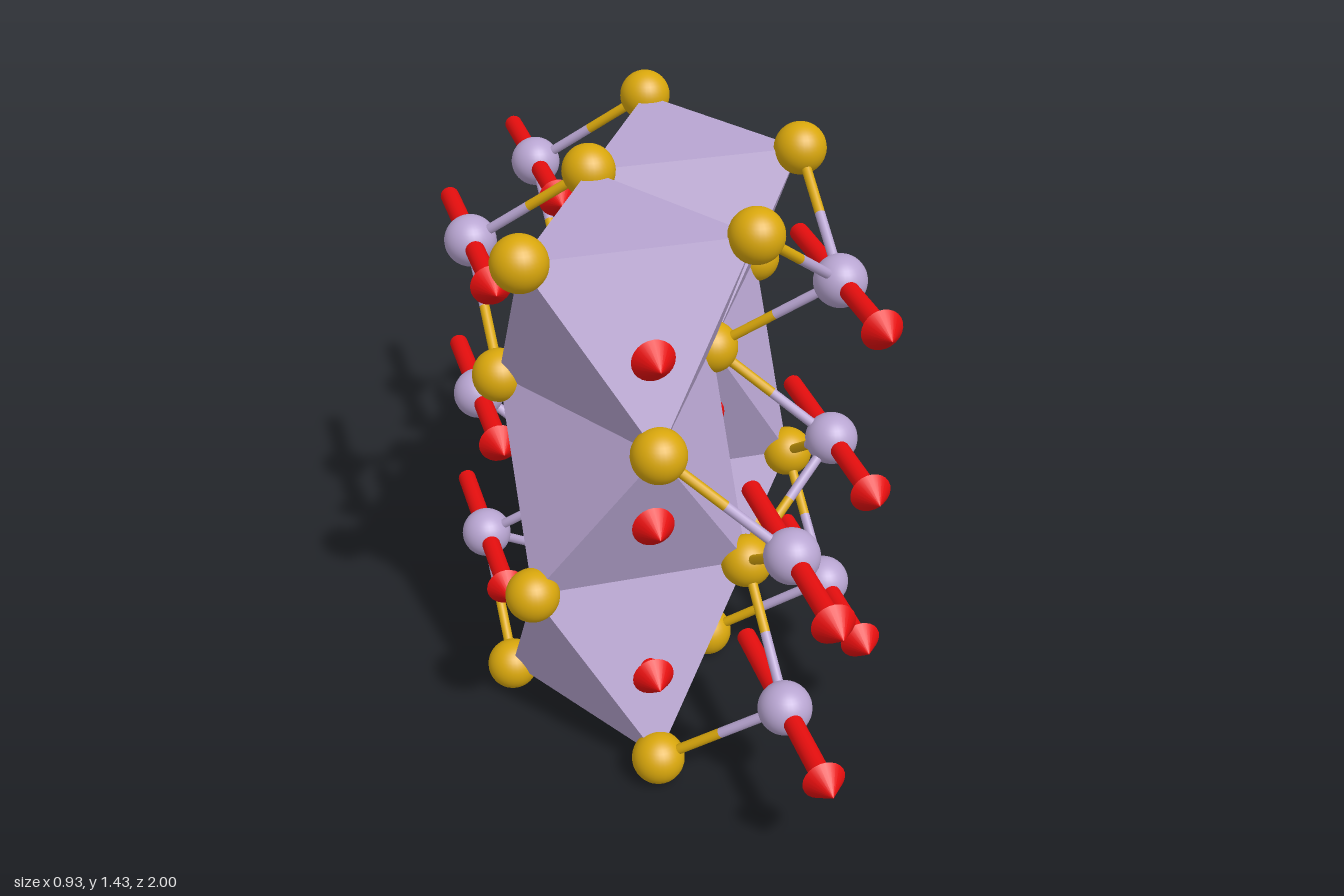
import * as THREE from 'three';
import { ConvexGeometry } from 'three/addons/geometries/ConvexGeometry.js';

const lilac = new THREE.MeshStandardMaterial({ color: 0xb8a5d1 });
const lilacFlat = new THREE.MeshStandardMaterial({ color: 0xb8a5d1, flatShading: true });
const gold = new THREE.MeshStandardMaterial({ color: 0xd9a70c });
const red = new THREE.MeshStandardMaterial({ color: 0xe60e0e });

// Lattice: column step along x, row step along z, layer step along y
const DX = 0.2667, ROW = 0.4616, LAYER = 0.4335, BASE = 0.066;
const ATOM_R = 0.065, BOND_R = 0.0125, BOND_MAX = 0.42;
const colX = (i) => (i - 1.5) * DX;
const metalZ = (row) => 0.213 + row * ROW;

export function createModel() {
  const model = new THREE.Group();
  model.name = 'crystalLattice';

  const add = (parent, name, geometry, material, position) => {
    const mesh = new THREE.Mesh(geometry, material);
    mesh.name = name;
    if (position) mesh.position.copy(position);
    parent.add(mesh);
    return mesh;
  };

  // Cylinder between two points
  const rod = (parent, name, a, b, material) => {
    const geometry = new THREE.CylinderGeometry(BOND_R, BOND_R, a.distanceTo(b), 12);
    const mesh = add(parent, name, geometry, material, a.clone().lerp(b, 0.5));
    mesh.quaternion.setFromUnitVectors(new THREE.Vector3(0, 1, 0), b.clone().sub(a).normalize());
  };

  // Two alternating corner-atom sheets, as [column, row] pairs
  const sheets = [
    { shift: ROW * 2 / 3, cells: [[1, 0], [0, -1], [2, -1], [1, -2], [3, -2]] },
    { shift: ROW / 3, cells: [[0, 0], [2, 0], [1, -1], [3, -1], [2, -2]] },
  ];
  const sphere = new THREE.SphereGeometry(ATOM_R, 32, 20);
  const corners = [];
  for (let level = 0; level < 4; level++) {
    const { shift, cells } = sheets[level % 2];
    for (const [col, row] of cells) {
      const p = new THREE.Vector3(colX(col), BASE + level * LAYER, metalZ(row) + shift);
      corners.push(p);
      add(model, 'cornerAtom', sphere, gold, p);
    }
  }

  // Arrow through each metal atom, pointing to +z
  const shaft = new THREE.CylinderGeometry(0.024, 0.024, 0.56, 20).rotateX(Math.PI / 2);
  const head = new THREE.ConeGeometry(0.051, 0.062, 24).rotateX(Math.PI / 2);
  const addArrow = (p) => {
    const arrow = new THREE.Group();
    arrow.name = 'arrow';
    arrow.position.copy(p);
    add(arrow, 'arrowShaft', shaft, red, new THREE.Vector3(0, 0, -0.01));
    add(arrow, 'arrowHead', head, red, new THREE.Vector3(0, 0, 0.294));
    model.add(arrow);
  };

  // Metal atoms: [column, row, layers]; those with six neighbours get an octahedron
  const metals = [
    [1, 0, [0, 1, 2]], [2, -1, [0, 1, 2]],
    [3, 0, [0, 1, 2]], [0, -1, [0, 1, 2]],
    [2, 1, [0, 1]], [1, -2, [1, 2]],
  ];
  for (const [col, row, layers] of metals) {
    for (const layer of layers) {
      const p = new THREE.Vector3(colX(col), BASE + (layer + 0.5) * LAYER, metalZ(row));
      add(model, 'metalAtom', sphere, lilac, p);
      addArrow(p);
      const near = corners.filter((c) => c.distanceTo(p) < BOND_MAX);
      // Each bond is half metal colour, half corner colour
      for (const c of near) {
        const mid = p.clone().lerp(c, 0.5);
        rod(model, 'bondMetalHalf', p, mid, lilac);
        rod(model, 'bondCornerHalf', mid, c, gold);
      }
      if (near.length === 6) add(model, 'octahedron', new ConvexGeometry(near), lilacFlat);
    }
  }
  return model;
}
